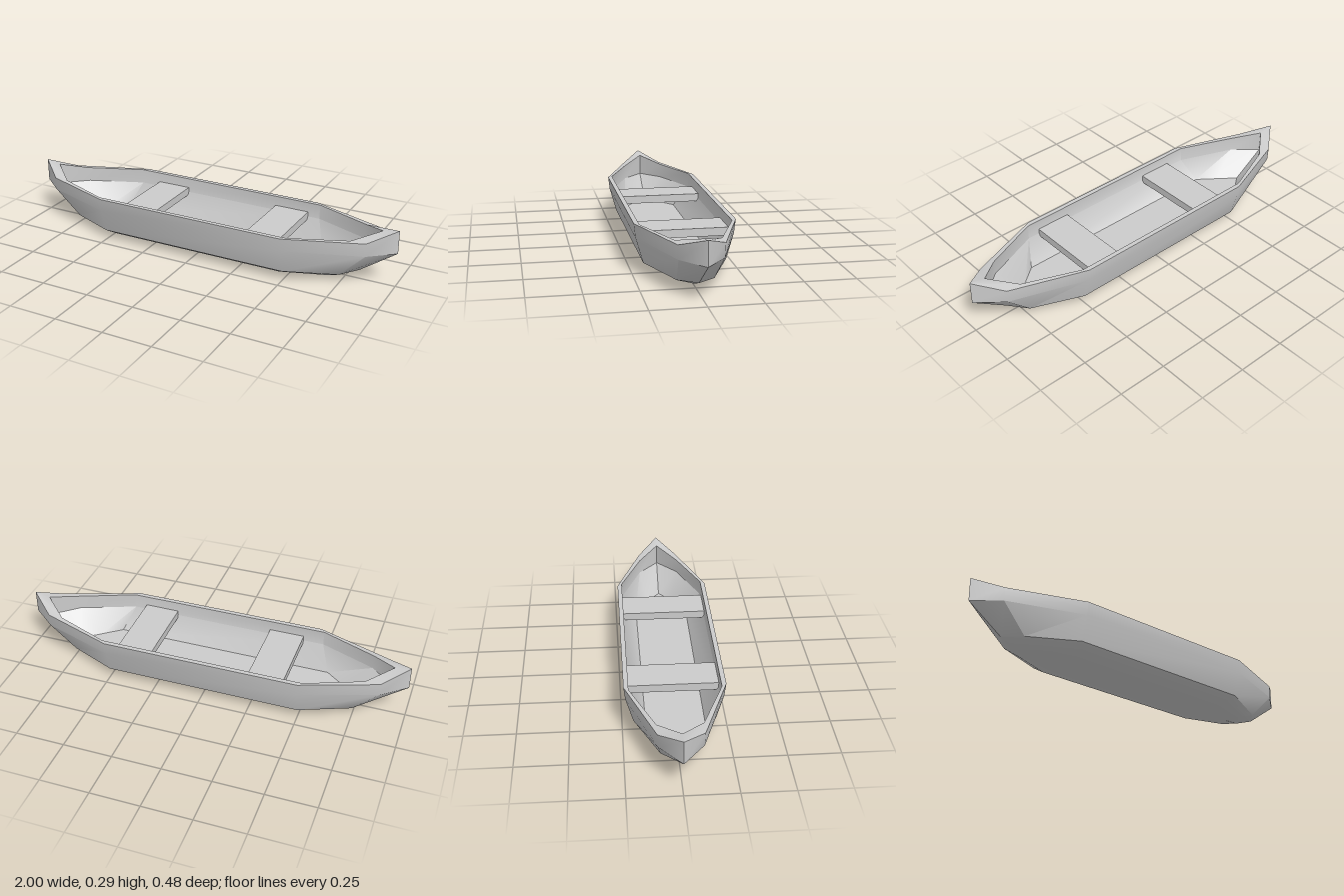
import * as THREE from 'three';
import { toCreasedNormals } from 'three/addons/utils/BufferGeometryUtils.js';

// Each ring is given for one quarter: bow tip, shoulder, side corner, as [x, y, z]
const RINGS = [
  [[0.69, 0.003, 0], [0.62, 0.002, 0], [0.46, 0, 0]],                   // keel
  [[0.7, 0.005, 0], [0.65, 0.007, 0.04], [0.46, 0.007, 0.07]],          // bottom
  [[0.72, 0.01, 0], [0.67, 0.014, 0.07], [0.47, 0.025, 0.16]],          // bilge
  [[0.82, 0.046, 0], [0.745, 0.04, 0.085], [0.5, 0.05, 0.197]],         // chine
  [[1, 0.173, 0], [0.875, 0.173, 0.102], [0.5, 0.173, 0.232]],          // strake
  [[1, 0.29, 0], [0.875, 0.24, 0.105], [0.5, 0.24, 0.24]],              // outer rim
  [[0.92, 0.275, 0], [0.8, 0.24, 0.105], [0.52, 0.24, 0.217]],          // inner rim
  [[0.92, 0.165, 0], [0.8, 0.165, 0.105], [0.52, 0.165, 0.215]],        // inner ledge
  [[0.75, 0.05, 0], [0.66, 0.05, 0.07], [0.57, 0.05, 0.14]],            // floor edge
  [[0.75, 0.05, 0], [0.66, 0.05, 0], [0.57, 0.05, 0]],                  // floor middle
];

// Mirror a quarter ring to the full ten-point loop
function fullRing([tip, shoulder, corner]) {
  const flip = ([x, y, z], sx, sz) => [x * sx, y, z * sz];
  return [
    tip, shoulder, corner,
    flip(corner, -1, 1), flip(shoulder, -1, 1), flip(tip, -1, 1),
    flip(shoulder, -1, -1), flip(corner, -1, -1),
    flip(corner, 1, -1), flip(shoulder, 1, -1),
  ];
}

// Skin a stack of rings, lowest outside ring first
function loft(rings) {
  const n = rings[0].length;
  const index = [];
  for (let r = 0; r < rings.length - 1; r++) {
    for (let i = 0; i < n; i++) {
      const a = r * n + i, b = r * n + (i + 1) % n;
      index.push(a, a + n, b, b, a + n, b + n);
    }
  }
  const geometry = new THREE.BufferGeometry();
  geometry.setAttribute('position', new THREE.Float32BufferAttribute(rings.flat(2), 3));
  geometry.setIndex(index);
  return toCreasedNormals(geometry, THREE.MathUtils.degToRad(32));
}

export function createModel() {
  const boat = new THREE.Group();
  boat.name = 'rowingBoat';
  const material = new THREE.MeshStandardMaterial({ color: 0xcccccc });

  // Hull: outside, rim and inside in one closed skin
  const hull = new THREE.Mesh(loft(RINGS.map(fullRing)), material);
  hull.name = 'hull';
  boat.add(hull);

  // Two plank seats across the hull
  for (const [name, x] of [['rightSeat', -0.325], ['leftSeat', 0.367]]) {
    const seat = new THREE.Mesh(new THREE.BoxGeometry(0.18, 0.04, 0.434), material);
    seat.name = name;
    seat.position.set(x, 0.17, 0);
    boat.add(seat);
  }
  return boat;
}
